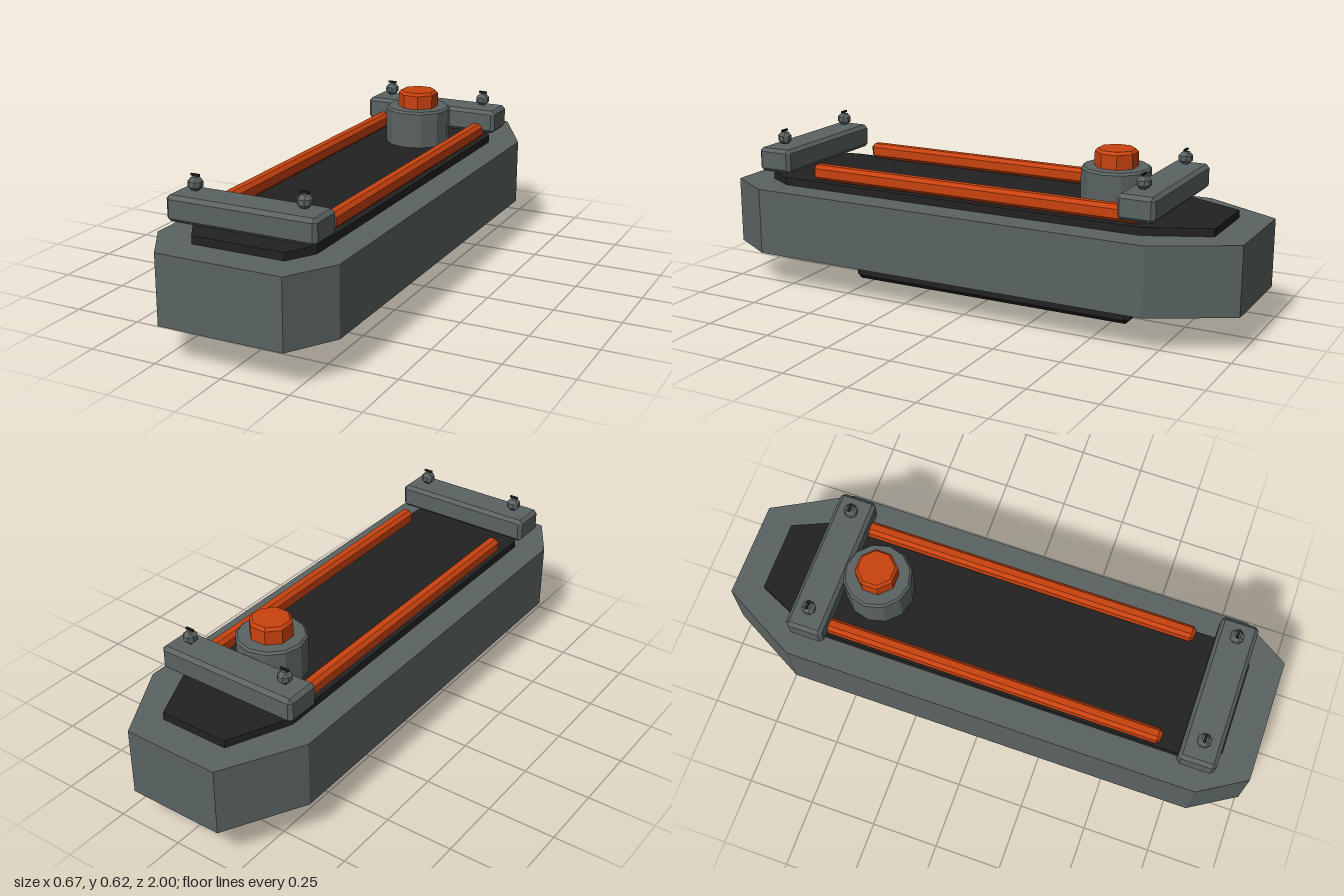
import * as THREE from 'three';
import { ConvexGeometry } from 'three/addons/geometries/ConvexGeometry.js';

const mat = (name, color) => {
  const m = new THREE.MeshStandardMaterial({ color, flatShading: true });
  m.name = name;
  return m;
};

// Box with every edge cut by a flat chamfer
function chamferBox(w, h, d, c) {
  const pts = [];
  for (const sx of [-1, 1]) for (const sy of [-1, 1]) for (const sz of [-1, 1])
    for (let a = 0; a < 3; a++) {
      const k = [c, c, c];
      k[a] = 0;
      pts.push(new THREE.Vector3(sx * (w / 2 - k[0]), sy * (h / 2 - k[1]), sz * (d / 2 - k[2])));
    }
  return new ConvexGeometry(pts);
}

// Upright prism from half an outline of [x, z] points, mirrored across x
function prism(half, y0, y1) {
  const outline = [...half, ...half.map(([x, z]) => [-x, z]).reverse()];
  const shape = new THREE.Shape(outline.map(([x, z]) => new THREE.Vector2(x, -z)));
  const geo = new THREE.ExtrudeGeometry(shape, { depth: y1 - y0, bevelEnabled: false });
  return geo.rotateX(-Math.PI / 2).translate(0, y0, 0);
}

// Closed lathe with a chamfered top rim
function chamferDisc(r, y0, y1, c, sides) {
  const p = [[0, y0], [r, y0], [r, y1 - c], [r - c, y1], [0, y1]];
  return new THREE.LatheGeometry(p.map(([x, y]) => new THREE.Vector2(x, y)), sides);
}

export function createModel() {
  const group = new THREE.Group();
  const grey = mat('slate grey', 0x5a6362);
  const black = mat('charcoal', 0x222222);
  const orange = mat('burnt orange', 0xc9420f);
  const add = (name, geo, material, x = 0, y = 0, z = 0) => {
    const mesh = new THREE.Mesh(geo, material);
    mesh.name = name;
    mesh.position.set(x, y, z);
    group.add(mesh);
    return mesh;
  };

  // Main block, with a dark core standing proud above and below
  add('body', prism([[0.23, 1], [0.335, 0.83], [0.335, -0.715], [0.18, -1]], 0.135, 0.384), grey);
  add('core', prism([[0.17, 0.88], [0.23, 0.78], [0.23, -0.66], [0.13, -0.885]], 0.106, 0.412), black);

  // Side rails
  for (const s of [-1, 1])
    add('rail', chamferBox(0.05, 0.058, 1.315, 0.013), orange, s * 0.202, 0.446, 0.003);

  // Cross clamps with slotted screws
  for (const z of [0.8, -0.657]) {
    add('clamp', chamferBox(0.55, 0.09, 0.137, 0.013), grey, 0, 0.484, z);
    for (const s of [-1, 1]) {
      add('screw', chamferBox(0.047, 0.045, 0.047, 0.0135), grey, s * 0.2, 0.559, z);
      add('screwSlot', new THREE.BoxGeometry(0.032, 0.007, 0.008), black, s * 0.2, 0.588, z);
    }
  }

  // Collar and push button
  add('collar', chamferDisc(0.125, 0.41, 0.553, 0.008, 12), grey, 0, 0, -0.475);
  add('button', chamferDisc(0.077, 0.55, 0.615, 0.01, 8), orange, 0, 0, -0.475).rotation.y = Math.PI / 8;

  // Underside grip on two feet
  add('grip', chamferBox(0.176, 0.088, 1.145, 0.018), black, 0, 0.044, 0.002);
  for (const z of [0.463, -0.463])
    add('gripMount', chamferBox(0.18, 0.085, 0.14, 0.012), grey, 0.004, 0.097, z);

  return group;
}
